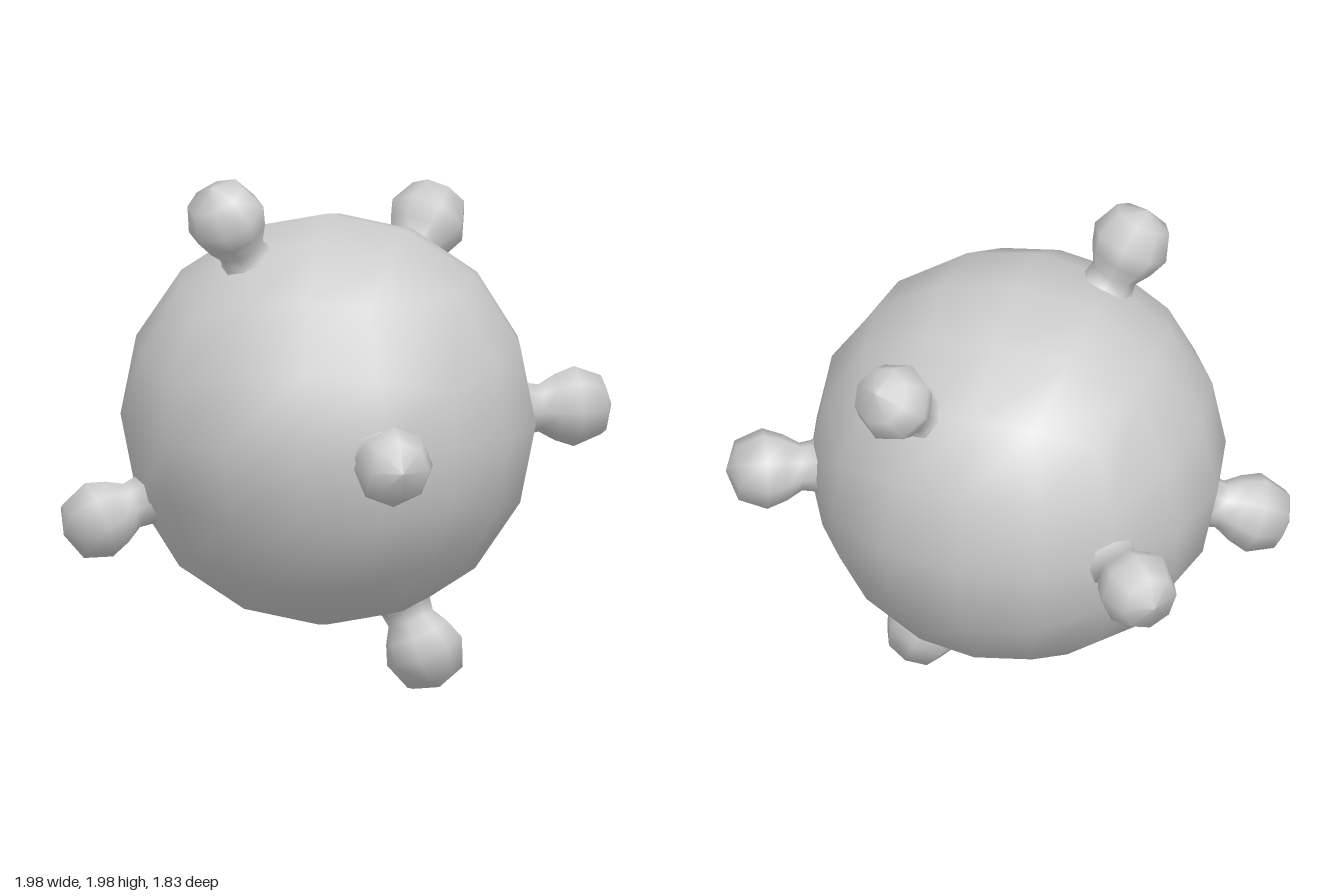
import * as THREE from 'three';

const material = new THREE.MeshStandardMaterial({ color: 0xcccccc });

// Cube rounded into a ball, with equal angles between the grid lines
function ballGeometry(radius) {
  const geometry = new THREE.BoxGeometry(2, 2, 2, 4, 4, 4);
  const { position, normal } = geometry.attributes;
  const v = new THREE.Vector3();
  const spread = (t) => Math.tan(t * Math.PI / 4);
  for (let i = 0; i < position.count; i++) {
    v.fromBufferAttribute(position, i);
    v.set(spread(v.x), spread(v.y), spread(v.z)).normalize();
    normal.setXYZ(i, v.x, v.y, v.z);
    position.setXYZ(i, v.x * radius, v.y * radius, v.z * radius);
  }
  return geometry;
}

// Eight-sided knob: flared foot, narrow neck and round head, pointing along +z
function knobGeometry() {
  const profile = [
    [0.13, 0.71], [0.097, 0.765], [0.09, 0.81], [0.125, 0.87],
    [0.152, 0.945], [0.112, 1.05], [0, 1.09],
  ].map(([r, d]) => new THREE.Vector2(r, d));
  return new THREE.LatheGeometry(profile, 8).rotateX(Math.PI / 2);
}

export function createModel() {
  const model = new THREE.Group();
  model.name = 'knobbedBall';

  const body = new THREE.Group();
  body.name = 'body';
  body.position.set(-0.03, 1.03, -0.11);
  model.add(body);

  const ball = new THREE.Mesh(ballGeometry(0.78), material);
  ball.name = 'ball';
  body.add(ball);

  // Knobs stand on corners of the ball's grid
  const t = Math.tan(Math.PI / 8);
  const directions = {
    topKnob: [-t, 1, t],
    frontKnob: [t, 0, 1],
    leftKnob: [1, 0, -t],
    bottomKnob: [t, -1, 0],
    rightKnob: [-1, -t, t],
    upperBackKnob: [0.45, 1, -1],
    rightBackKnob: [-1, 0, -1],
  };
  const knob = knobGeometry();
  for (const [name, direction] of Object.entries(directions)) {
    const mesh = new THREE.Mesh(knob, material);
    mesh.name = name;
    mesh.lookAt(...direction);
    body.add(mesh);
  }
  return model;
}
